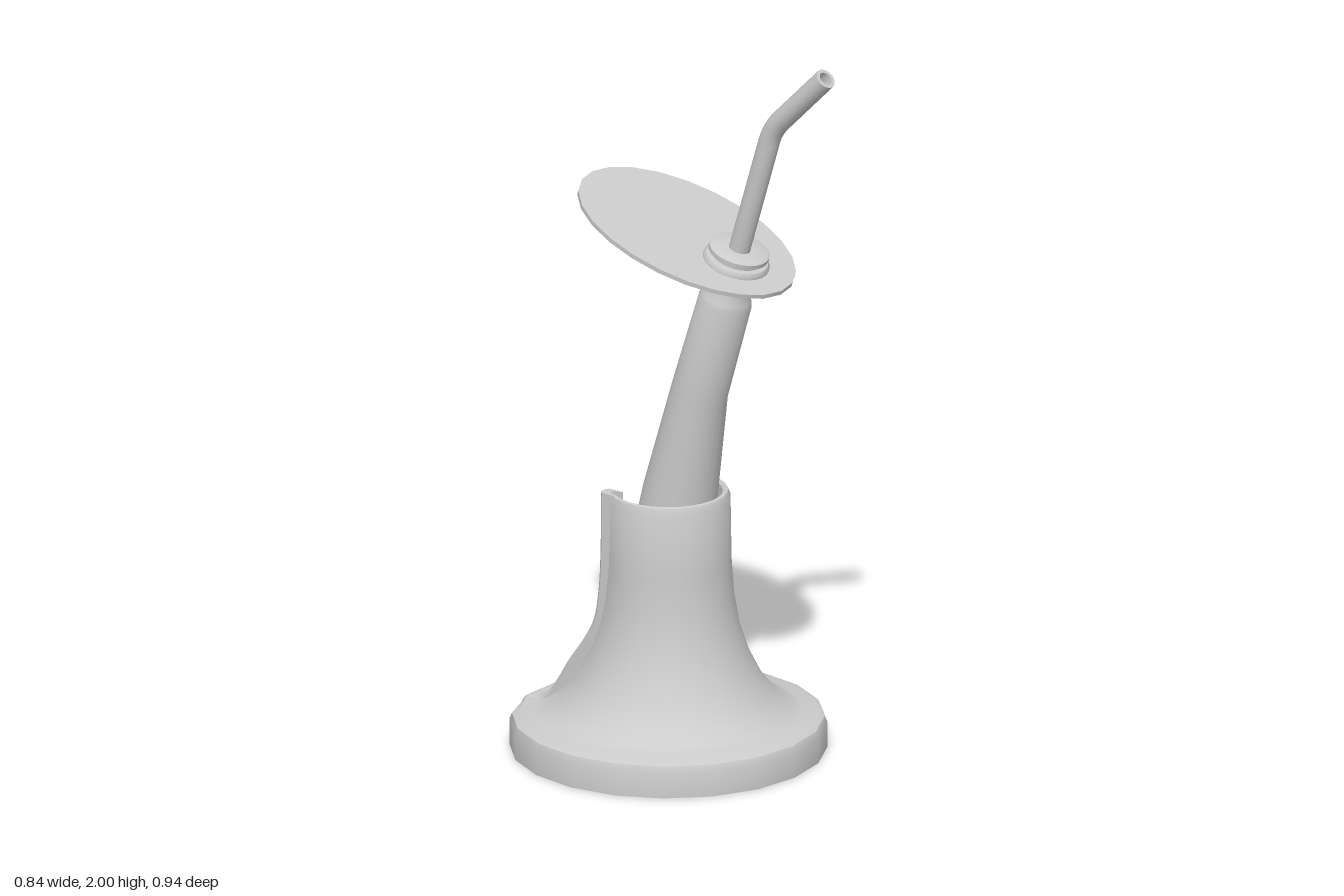
import * as THREE from 'three';
import { toCreasedNormals } from 'three/addons/utils/BufferGeometryUtils.js';

const material = new THREE.MeshStandardMaterial({ color: 0xcccccc, side: THREE.DoubleSide });
const AXIS_Z = -0.08;   // centre line of the stand
const TILT = 0.308;     // lean of the upper handle

function add(parent, name, geometry) {
  const mesh = new THREE.Mesh(geometry, material);
  mesh.name = name;
  parent.add(mesh);
  return mesh;
}

// Skin a list of equal-length rows of [x, y, z] points
function loft(rows, crease = 0.7) {
  const n = rows[0].length, index = [];
  for (let i = 0; i < rows.length - 1; i++) {
    for (let j = 0; j < n - 1; j++) {
      const a = i * n + j, b = a + 1, c = b + n, d = a + n;
      index.push(a, b, c, a, c, d);
    }
  }
  const geometry = new THREE.BufferGeometry();
  geometry.setAttribute('position', new THREE.Float32BufferAttribute(rows.flat(2), 3));
  geometry.setIndex(index);
  return toCreasedNormals(geometry, crease);
}

// Stand ring that leaves a gap of the given half width at the back
function standRing(r, y, gap) {
  const a = Math.asin(Math.min(1, gap / r)), n = gap ? 18 : 20;
  return Array.from({ length: n + 1 }, (_, j) => {
    const t = a + (2 * Math.PI - 2 * a) * j / n;
    return [-r * Math.sin(t), y, Math.max(-0.46, AXIS_Z - r * Math.cos(t))];
  });
}

// Round ring leaning toward the front
function leaningRing(r, y, z, tilt) {
  return Array.from({ length: 25 }, (_, j) => {
    const t = j / 24 * Math.PI * 2, u = r * Math.cos(t);
    return [r * Math.sin(t), y - u * Math.sin(tilt), z + u * Math.cos(tilt)];
  });
}

function buildStand() {
  const stand = new THREE.Group();
  stand.name = 'stand';

  // Flared shell, over the lip and down the inner wall
  const profile = [
    [0.42, 0], [0.42, 0.07], [0.413, 0.087], [0.395, 0.095], [0.36, 0.098], [0.33, 0.11],
    [0.29, 0.14], [0.25, 0.19], [0.215, 0.26], [0.19, 0.335], [0.175, 0.42], [0.168, 0.52],
    [0.165, 0.7], [0.158, 0.718], [0.15, 0.72], [0.143, 0.715], [0.143, 0.5], [0.155, 0.4],
    [0.195, 0.26], [0.23, 0.19], [0.27, 0.14],
  ];
  add(stand, 'flaredBody', loft(profile.map(([r, y]) => standRing(r, y, 0.125))));
  add(stand, 'underside', loft([standRing(0.001, 0, 0), standRing(0.42, 0, 0)]));
  add(stand, 'cradleFloor', loft([standRing(0.25, 0.15, 0), standRing(0.001, 0.15, 0)]));

  // Raised back panel with a U-shaped slot, built as two mirrored halves
  const path = new THREE.CatmullRomCurve3([
    [0, -0.47], [0.07, -0.47], [0.098, -0.452], [0.105, -0.41], [0.13, -0.375], [0.18, -0.34],
    [0.225, -0.313], [0.3, -0.26], [0.36, -0.228], [0.45, -0.212], [0.55, -0.206], [0.722, -0.204],
  ].map(([y, z]) => new THREE.Vector3(0, y, z)), false, 'centripetal');
  const slotHalfWidth = (y) => {
    const k = THREE.MathUtils.clamp((0.31 - y) / 0.09, 0, 1);
    return 0.1 * Math.sqrt(1 - k * k);
  };
  for (const side of [1, -1]) {
    const rows = [];
    for (let i = 0; i <= 66; i++) {
      const p = path.getPoint(i / 66), t = path.getTangent(i / 66);
      const w = slotHalfWidth(p.y), bevel = w > 0.02 ? 0.008 : 0;
      const section = [[0.14, 0.05], [0.14, 0.01], [0.13, 0],
        [w + bevel, 0], [w, bevel], [w, 0.05]];
      const row = section.map(([x, d]) => [side * x, Math.max(0, p.y - d * t.z), p.z + d * t.y]);
      rows.push(side > 0 ? row : row.reverse());
    }
    // Close the top of the rail
    rows.push(rows[66].map(() => [side * 0.12, 0.724, -0.18]));
    add(stand, side > 0 ? 'leftSlotRail' : 'rightSlotRail', loft(rows));
  }
  return stand;
}

function buildIron() {
  const iron = new THREE.Group();
  iron.name = 'handTool';

  // Tapered, slightly bent handle
  add(iron, 'handle', loft([
    leaningRing(0.001, 0.19, -0.155, 0.21), leaningRing(0.1, 0.19, -0.155, 0.21),
    leaningRing(0.113, 0.25, -0.142, 0.21), leaningRing(0.1, 0.72, -0.04, 0.21),
    leaningRing(0.076, 1.02, 0.025, 0.26), leaningRing(0.072, 1.29, 0.11, TILT),
    leaningRing(0.066, 1.305, 0.115, TILT), leaningRing(0.05, 1.34, 0.125, TILT),
    leaningRing(0.05, 1.39, 0.141, TILT),
  ]));

  // Oval guard and stepped collars, square to the leaning axis
  const head = new THREE.Group();
  head.name = 'guardAssembly';
  head.position.set(0, 1.397, 0.143);
  head.rotation.x = TILT;
  iron.add(head);
  const guard = add(head, 'ovalGuard', new THREE.CylinderGeometry(1, 1, 0.012, 24));
  guard.scale.set(0.235, 1, 0.33);
  guard.position.z = -0.17;
  const collar = [[0.05, -0.045], [0.062, -0.042], [0.062, -0.027], [0.08, -0.025], [0.088, -0.018],
    [0.09, 0], [0.09, 0.014], [0.084, 0.022], [0.07, 0.023], [0.07, 0.032],
    [0.082, 0.034], [0.082, 0.046], [0.076, 0.05], [0.03, 0.05]];
  add(head, 'collar', toCreasedNormals(new THREE.LatheGeometry(
    collar.map(([r, y]) => new THREE.Vector2(r, y)), 24), 0.7));

  // Bent hollow rod
  const rodPath = new THREE.CurvePath();
  const v = (y, z) => new THREE.Vector3(0, y, z);
  rodPath.add(new THREE.LineCurve3(v(1.39, 0.141), v(1.765, 0.256)));
  rodPath.add(new THREE.QuadraticBezierCurve3(v(1.765, 0.256), v(1.8, 0.267), v(1.827, 0.292)));
  rodPath.add(new THREE.LineCurve3(v(1.827, 0.292), v(1.98, 0.444)));
  add(iron, 'bentRod', new THREE.TubeGeometry(rodPath, 40, 0.029, 14));
  const bore = new THREE.LineCurve3(v(1.95, 0.414), v(1.98, 0.444));
  add(iron, 'rodBore', new THREE.TubeGeometry(bore, 1, 0.019, 14));
  const ends = [['rodRim', new THREE.RingGeometry(0.019, 0.029, 14), v(1.98, 0.444)],
    ['boreFloor', new THREE.CircleGeometry(0.019, 14), v(1.95, 0.414)]];
  for (const [name, geometry, position] of ends) {
    const mesh = add(iron, name, geometry);
    mesh.position.copy(position);
    mesh.rotation.x = -Math.PI / 4;
  }
  return iron;
}

export function createModel() {
  const model = new THREE.Group();
  model.name = 'toolInStand';
  model.add(buildStand(), buildIron());
  return model;
}
